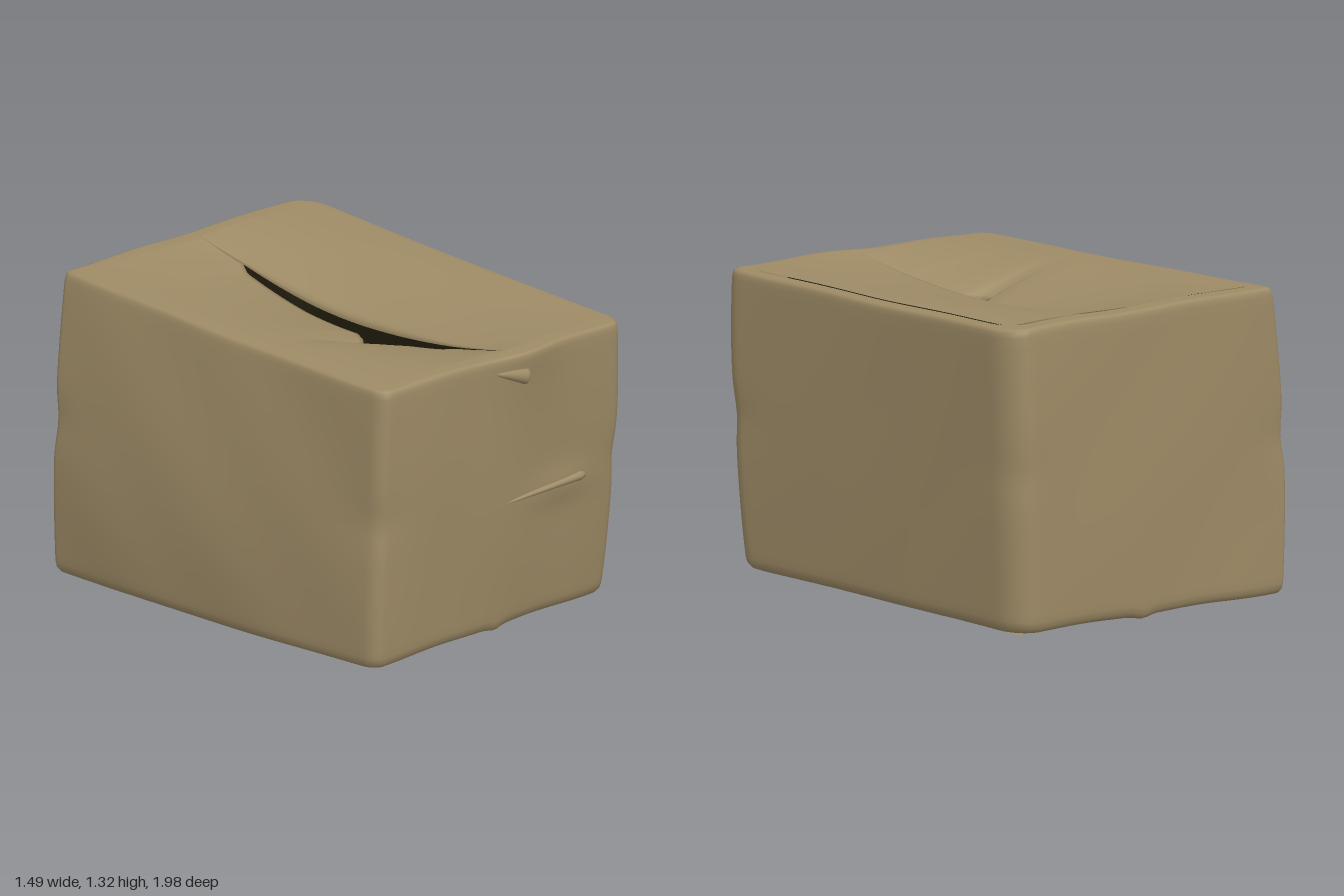
import * as THREE from 'three';

// Corner [x, y, z] at three heights (bottom, middle, top)
const CORNERS = {
  fl: [[-0.685, 0.033, 0.845], [-0.685, 0.64, 0.87], [-0.675, 1.265, 0.885]],
  fr: [[0.695, 0.03, 0.845], [0.69, 0.64, 0.935], [0.655, 1.27, 0.99]],
  br: [[0.715, 0.015, -0.945], [0.735, 0.66, -0.955], [0.75, 1.31, -0.94]],
  bl: [[-0.7, 0.015, -0.985], [-0.705, 0.66, -0.99], [-0.63, 1.325, -0.995]],
};

const bell = (d, w) => Math.exp(-((d / w) ** 2));

// Quadratic blend through the three heights of one corner
function cornerAt(c, v) {
  const w = [(1 - v) * (1 - 2 * v), 4 * v * (1 - v), v * (2 * v - 1)];
  return [0, 1, 2].map(k => c[0][k] * w[0] + c[1][k] * w[1] + c[2][k] * w[2]);
}

// Position in the crumpled box: s left-right, t back-front, v bottom-top
function boxPoint(s, t, v, lift = 0) {
  const a = (1 + s) / 2, b = (1 + t) / 2;
  const [fl, fr, br, bl] = ['fl', 'fr', 'br', 'bl'].map(k => cornerAt(CORNERS[k], v));
  const p = [0, 1, 2].map(k =>
    b * ((1 - a) * fl[k] + a * fr[k]) + (1 - b) * ((1 - a) * bl[k] + a * br[k]));
  const front = Math.max(0, t) ** 4;
  // soft dents in the walls and pinched corners
  const pinch = 0.012 * (s * t) ** 8 * bell(v - 0.52, 0.08);
  p[0] += s * (0.004 * Math.sin(5 * t + 6 * v) * Math.sin(4 * v + 3 * t) - pinch);
  p[2] += t * (0.004 * Math.sin(6 * s + 3 * v) * Math.sin(5 * v - 2 * s) - pinch);
  // bulging left wall, swollen front lip, creased front
  p[0] -= 0.045 * (1 - t * t) * bell(v - 0.33, 0.55) * (1 - a);
  p[2] += front * (0.03 * bell(s - 0.18, 0.25) * v ** 6 + 0.016 * bell(s - 0.5, 0.25) * bell(v - 0.47, 0.06));
  // slightly hollow top and a low tab under the front and back
  p[1] += 0.003 * Math.sin(7 * s + 2 * t) * Math.sin(5 * t) - 0.012 * (1 - t * t) * v ** 4;
  p[1] -= 0.018 * bell(s - 0.05, 0.06) * t ** 12 * (1 - v) ** 12;
  p[1] += lift;
  return p;
}

// Smooth grid surface from a rule; closed wraps the first direction
function surface(nu, nv, rule, flip = false, closed = false) {
  const pos = [], idx = [], cols = closed ? nu : nu + 1;
  for (let j = 0; j <= nv; j++)
    for (let i = 0; i < cols; i++) pos.push(...rule(i, j));
  for (let j = 0; j < nv; j++)
    for (let i = 0; i < nu; i++) {
      const a = j * cols + i, c = j * cols + (i + 1) % cols, b = a + cols, d = c + cols;
      if (flip) idx.push(a, c, b, c, d, b);
      else idx.push(a, b, c, c, b, d);
    }
  const g = new THREE.BufferGeometry();
  g.setAttribute('position', new THREE.Float32BufferAttribute(pos, 3));
  g.setIndex(idx);
  g.computeVertexNormals();
  return g;
}

// Square outline in unit coordinates, each corner with its own radius
function outline(radii, arcSteps, sideSteps) {
  const pts = [];
  radii.forEach((r, q) => {
    const mid = Math.PI / 4 + q * Math.PI / 2;
    const sx = Math.sign(Math.cos(mid)), sz = Math.sign(Math.sin(mid));
    for (let i = 0; i <= arcSteps; i++) {
      const ang = (q + i / arcSteps) * Math.PI / 2;
      pts.push([sx * (1 - r) + r * Math.cos(ang), sz * (1 - r) + r * Math.sin(ang)]);
    }
    const dir = (q + 1) * Math.PI / 2, last = pts[pts.length - 1];
    const len = 2 - r - radii[(q + 1) % 4];
    for (let i = 1; i < sideSteps; i++) {
      const d = len * i / sideSteps;
      pts.push([last[0] - Math.sin(dir) * d, last[1] + Math.cos(dir) * d]);
    }
  });
  return pts;
}

// Piecewise-linear lookup
function lookup(table, z) {
  if (z <= table[0][0]) return table[0][1];
  for (let i = 1; i < table.length; i++) {
    const [z0, x0] = table[i - 1], [z1, x1] = table[i];
    if (z <= z1) return x0 + (x1 - x0) * (z - z0) / (z1 - z0);
  }
  return table[table.length - 1][1];
}

// Edges of the torn top seam as [z, x]
const LEFT_EDGE = [[-0.9, 0.1], [-0.66, 0.1], [-0.58, 0.055], [-0.4, 0.035], [-0.2, 0.015], [0.1, 0.005],
  [0.18, -0.04], [0.22, -0.1], [0.27, -0.1], [0.31, -0.03], [0.4, 0], [0.56, 0.015], [0.62, 0.045], [0.9, 0.045]];
const RIGHT_EDGE = [[-0.9, 0.07], [-0.6, 0.075], [-0.2, 0.055], [0.2, 0.045], [0.6, 0.03], [0.9, 0.02]];

export function createModel() {
  const box = new THREE.Group();
  box.name = 'cardboardBox';
  const cardboard = new THREE.MeshStandardMaterial({ color: 0x9e8b66, side: THREE.DoubleSide });
  cardboard.name = 'cardboard';
  const shade = new THREE.MeshStandardMaterial({ color: 0x1f1c0c, side: THREE.DoubleSide });
  shade.name = 'darkInside';
  const add = (name, geometry, material = cardboard) => {
    const m = new THREE.Mesh(geometry, material);
    m.name = name;
    box.add(m);
    return m;
  };

  // Four walls, rolled over at the top and bottom edges: rows of [height, inset]
  const ring = outline([0.09, 0.07, 0.03, 0.15], 6, 46);
  const rows = [[0, 0.1], [0, 0.045], [0.006, 0.018], [0.02, 0.004], [0.04, 0]];
  for (let i = 1; i < 36; i++) rows.push([0.04 + 0.92 * i / 36, 0]);
  rows.push([0.97, 0], [0.987, 0.003], [0.996, 0.01], [1, 0.025], [1, 0.1]);
  add('walls', surface(ring.length, rows.length - 1, (i, j) => {
    const [v, inset] = rows[j];
    return boxPoint(ring[i][0] * (1 - inset), ring[i][1] * (1 - inset), v);
  }, false, true));

  // Top flaps sagging along the seam, with the torn edge folded down
  const topFlap = (name, outer, edge, base, sag, fold) => {
    add(name, surface(25, 100, (i, j) => {
      const k = outer < 0 ? i : 25 - i;
      const u = Math.min(1, k / 24);
      const t = -0.91 + 1.84 * j / 100;
      const hollow = 1 - (t / 0.93) ** 2;
      const inner = (lookup(edge, t * 0.95) - 0.0225 + 0.0375 * t) / 0.67;
      const dip = sag * u ** 1.8 + (k === 25 ? fold : 0);
      return boxPoint(outer + (inner - outer) * u, t, 1, base - dip * hollow);
    }));
  };
  topFlap('leftTopFlap', -0.935, LEFT_EDGE, 0.004, 0.135, 0.05);
  topFlap('rightTopFlap', 0.92, RIGHT_EDGE, 0.008, 0.095, 0.025);

  // Bottom flaps, tucked up where they meet
  for (const side of [-1, 1]) {
    add(side < 0 ? 'leftBottomFlap' : 'rightBottomFlap', surface(30, 40, (i, j) => {
      const s = side * (0.004 + 0.926 * (i / 30) ** 2);
      const t = -0.93 + 1.86 * j / 40;
      return boxPoint(s, t, 0, -0.005 + 0.018 * bell(s, 0.025) + (side < 0 ? 0.004 : 0));
    }, side > 0));
  }

  // Dark lining and floor seen through the seam
  add('insideWalls', surface(ring.length, 8, (i, j) =>
    boxPoint(ring[i][0] * 0.97, ring[i][1] * 0.97, 0.04 + 0.9 * j / 8), true, true), shade);
  add('insideFloor', surface(12, 12, (i, j) =>
    boxPoint(-0.9 + 0.15 * i, -0.9 + 0.15 * j, 0.045)), shade);

  // Folded scuffs standing out of the front: tapered, blunt at the right end
  const scuff = (name, length, height, depth, x, y, z, tilt) => {
    const profile = [[0, 0], [0.25, 0.12], [0.6, 0.5], [0.9, 0.85], [1, 0.93], [0.75, 0.99], [0, 1]]
      .map(([r, h]) => new THREE.Vector2(r, h));
    const m = add(name, new THREE.LatheGeometry(profile, 16));
    m.scale.set(height, length, depth);
    m.rotation.z = -Math.PI / 2 + tilt;
    m.position.set(x, y, z);
  };
  scuff('frontRidge', 0.46, 0.022, 0.028, 0.02, 0.605, 0.918, 0.035);
  scuff('frontTear', 0.19, 0.035, 0.028, -0.08, 1.21, 0.962, -0.28);
  return box;
}
